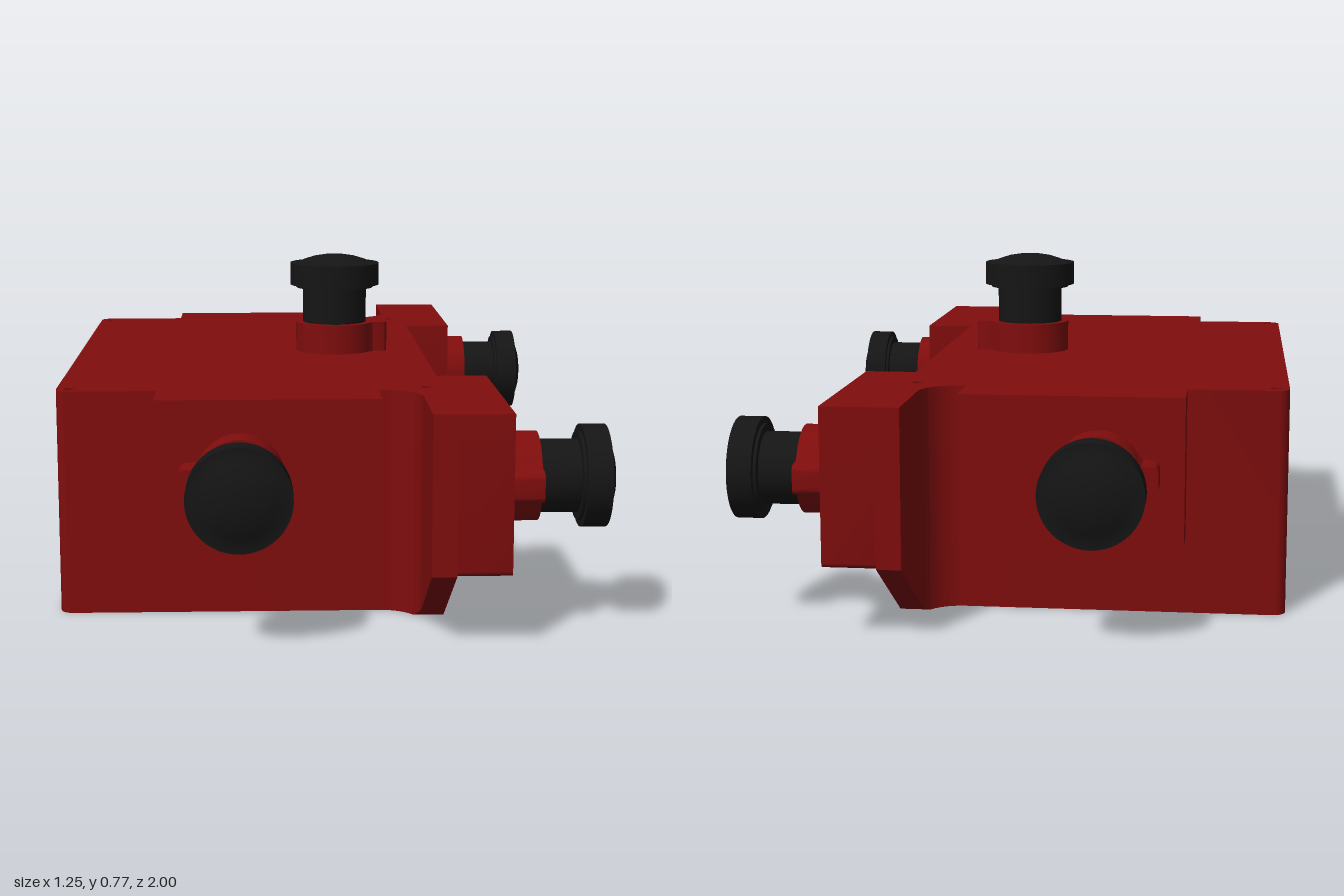
import * as THREE from 'three';
import { toCreasedNormals } from 'three/addons/utils/BufferGeometryUtils.js';

const red = new THREE.MeshStandardMaterial({ color: 0x800d0d });
const black = new THREE.MeshStandardMaterial({ color: 0x151515 });
const TOP = 0.52, ARM_START = 0.67, ARM_END = 0.94, UNDER = 0.165;

const V = (x, y) => new THREE.Vector2(x, y);

function arc(cx, cy, r, a0, a1, n = 10) {
  return Array.from({ length: n + 1 }, (_, i) => {
    const a = a0 + (a1 - a0) * i / n;
    return V(cx + r * Math.cos(a), cy + r * Math.sin(a));
  });
}

function mesh(name, geometry, material = red) {
  const m = new THREE.Mesh(toCreasedNormals(geometry, 0.6), material);
  m.name = name;
  return m;
}

const extrude = (shape, depth) =>
  new THREE.ExtrudeGeometry(shape, { depth, bevelEnabled: false, curveSegments: 12 });

// Extrude a plan outline (x, z) downwards from the given height
const extrudePlan = (shape, top, depth) =>
  extrude(shape, depth).rotateX(Math.PI / 2).translate(0, top, 0);

// Rectangle with rounded lower corners
function tabShape(x0, x1, y0, y1, r) {
  return new THREE.Shape([
    V(x1, y1), V(x0, y1),
    ...arc(x0 + r, y0 + r, r, Math.PI, 1.5 * Math.PI, 5),
    ...arc(x1 - r, y0 + r, r, 1.5 * Math.PI, 2 * Math.PI, 5),
  ]);
}

// Main housing: long plate with rounded left corners and four screw holes
function housing() {
  const half = [
    V(0.255, ARM_START),
    ...arc(0.11, 0.72, 0.09, -0.589, -Math.PI / 2, 6),
    ...arc(-0.6, 0.6, 0.03, Math.PI / 2, Math.PI, 6),
  ];
  const shape = new THREE.Shape([...half, ...half.map(p => V(p.x, -p.y)).reverse()]);
  for (const x of [-0.6, 0.22]) for (const z of [-0.595, 0.595]) {
    shape.holes.push(new THREE.Path().absarc(x, z, 0.013, 0, Math.PI * 2, true));
  }
  return mesh('housing', extrudePlan(shape, TOP, TOP));
}

// End arm with a sloping underside and the rest of the inner fillet
function endArm(s) {
  const outline = [
    V(0.255, ARM_START), V(0.255, ARM_END), V(0.2, ARM_END),
    ...arc(0.11, 0.72, 0.09, 0, -0.589, 6),
  ];
  const g = extrudePlan(new THREE.Shape(outline.map(p => V(p.x, p.y * s))), TOP, TOP);
  const pos = g.attributes.position;
  for (let i = 0; i < pos.count; i++) {
    if (pos.getY(i) < 0.01) {
      const t = (Math.abs(pos.getZ(i)) - ARM_START) / (ARM_END - ARM_START);
      pos.setY(i, t * UNDER);
    }
  }
  g.computeVertexNormals();
  return mesh('endArm', g);
}

// Threaded-looking collar with a small index tab, plus a domed push knob
function plunger(position, axis, tab) {
  const group = new THREE.Group();
  group.name = 'plunger';

  const a = 0.48;
  const collar = new THREE.Shape([
    ...arc(0, 0, 0.1, a, 2 * Math.PI - a, 40),
    V(0.098, -0.036),
    ...arc(0.121, -0.02, 0.014, -Math.PI / 2, 0, 4),
    ...arc(0.121, 0.02, 0.014, 0, Math.PI / 2, 4),
    V(0.098, 0.036),
  ]);
  group.add(mesh('collar', extrudePlan(collar, 0.075, 0.075)));

  const profile = [
    V(0, 0.07), V(0.082, 0.07), V(0.082, 0.165), V(0.1, 0.165), V(0.1, 0.172),
    V(0.115, 0.172), V(0.115, 0.228), V(0.099, 0.228),
    V(0.08, 0.236), V(0.055, 0.244), V(0.028, 0.2485), V(0, 0.25),
  ];
  group.add(mesh('knob', new THREE.LatheGeometry(profile, 48), black));

  const x = new THREE.Vector3(...tab), y = new THREE.Vector3(...axis);
  const basis = new THREE.Matrix4().makeBasis(x, y, x.clone().cross(y));
  group.quaternion.setFromRotationMatrix(basis);
  group.position.set(...position);
  return group;
}

export function createModel() {
  const model = new THREE.Group();
  model.name = 'plungerHousing';
  model.add(housing());

  for (const s of [1, -1]) {
    model.add(endArm(s));

    // Raised pad on each end
    const pad = mesh('endPad', extrude(tabShape(-0.4, 0.105, UNDER, TOP, 0.02), 0.12));
    pad.position.z = s > 0 ? 0.63 : -0.75;
    model.add(pad);

    // Block standing out from the side at each end
    const block = mesh('sideBlock',
      extrude(tabShape(-0.25, 0.25, UNDER, TOP, 0.012), 0.12).rotateY(Math.PI / 2));
    block.position.set(0.255, 0, s * 0.69);
    model.add(block);

    model.add(plunger([-0.21, 0.345, s * 0.75], [0, 0, s], [-1, 0, 0]));
    model.add(plunger([0.375, 0.345, s * 0.75], [1, 0, 0], [0, 0, s]));
  }

  model.add(plunger([0.03, TOP, 0], [0, 1, 0], [1, 0, 0]));
  return model;
}
